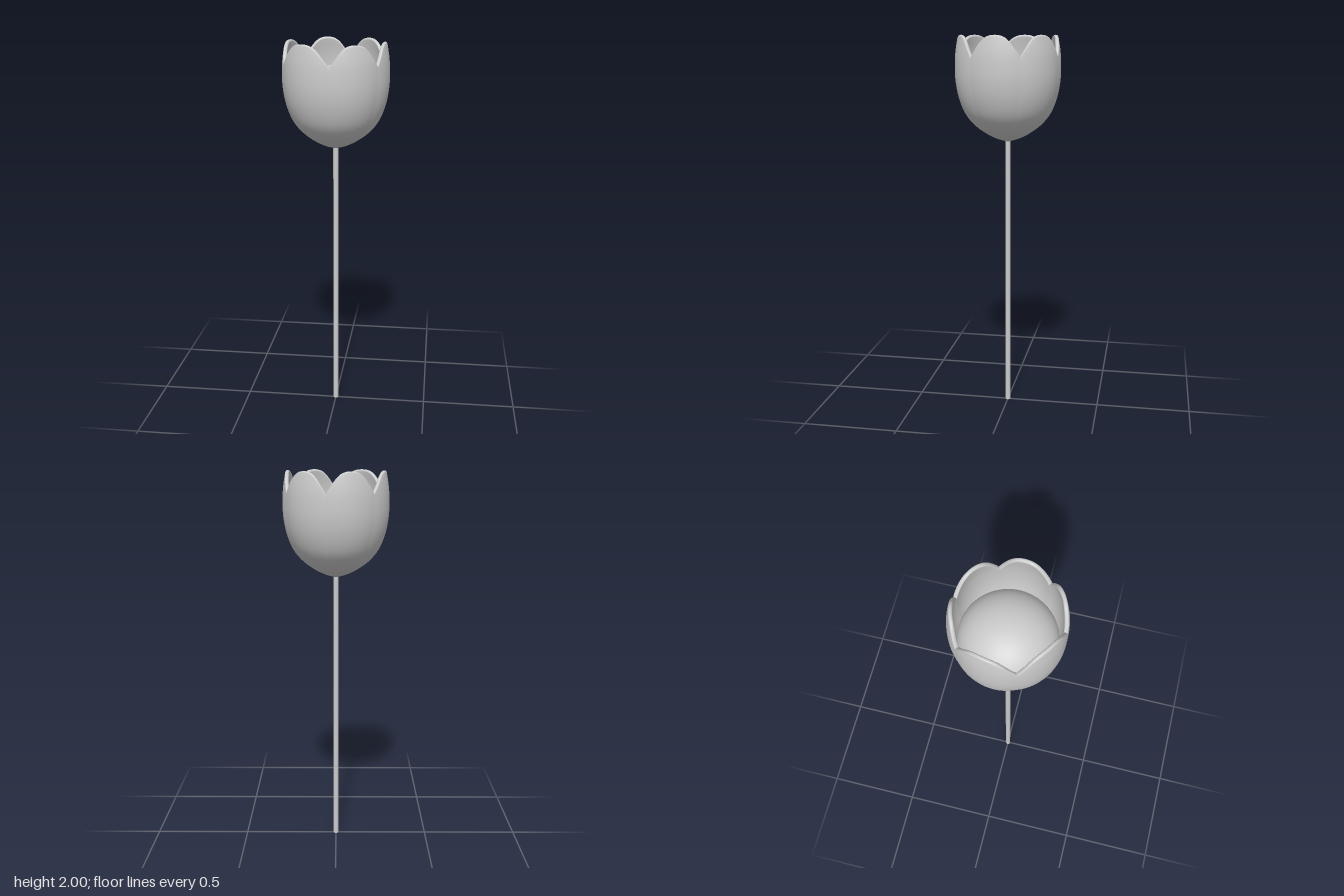
import * as THREE from 'three';

const material = new THREE.MeshStandardMaterial({ color: 0xcccccc, side: THREE.DoubleSide });
const HALF_THICKNESS = 0.01;

// Centre line of the petal wall: radius, height
const wall = new THREE.SplineCurve([
  [0.008, 1.463], [0.06, 1.479], [0.115, 1.508], [0.17, 1.55], [0.215, 1.607],
  [0.246, 1.685], [0.261, 1.765], [0.264, 1.84], [0.26, 1.915], [0.248, 1.99],
].map(([r, y]) => new THREE.Vector2(r, y)));

// Cross-section up the outside, round the lip and down the inside
function crossSection(top, steps = 28, lipSteps = 8) {
  const points = [];
  const add = (v, angle) => {
    const p = wall.getPoint(v * top);
    const t = wall.getTangent(v * top);
    const c = Math.cos(angle) * HALF_THICKNESS, s = Math.sin(angle) * HALF_THICKNESS;
    points.push([Math.max(0, p.x + t.y * c + t.x * s), p.y - t.x * c + t.y * s]);
  };
  for (let j = 0; j < steps; j++) add(j / steps, 0);
  for (let j = 0; j <= lipSteps; j++) add(1, Math.PI * j / lipSteps);
  for (let j = steps - 1; j >= 0; j--) add(j / steps, Math.PI);
  return points;
}

// One petal between two angles, measured from the front towards the left
function petalGeometry(from, to, columns = 28) {
  const positions = [], index = [];
  let rows = 0;
  for (let i = 0; i <= columns; i++) {
    const t = 2 * i / columns - 1;
    const a = THREE.MathUtils.degToRad(from + (to - from) * i / columns);
    const section = crossSection(1 - 0.155 * t * t);
    const bulge = 1.004 - 0.014 * t * t;
    rows = section.length;
    for (const [r, y] of section) {
      positions.push(r * bulge * Math.sin(a), y, r * bulge * Math.cos(a));
    }
  }
  for (let i = 0; i < columns; i++) {
    for (let j = 0; j < rows - 1; j++) {
      const a = i * rows + j, b = a + rows;
      index.push(a, b, a + 1, b, b + 1, a + 1);
    }
  }
  const geometry = new THREE.BufferGeometry();
  geometry.setAttribute('position', new THREE.Float32BufferAttribute(positions, 3));
  geometry.setIndex(index);
  geometry.computeVertexNormals();
  return geometry;
}

export function createModel() {
  const model = new THREE.Group();
  model.name = 'flower';
  const add = (name, geometry, parent = model) => {
    const mesh = new THREE.Mesh(geometry, material);
    mesh.name = name;
    parent.add(mesh);
    return mesh;
  };

  // Stem
  add('stem', new THREE.CylinderGeometry(0.014, 0.014, 1.48, 24)).position.y = 0.74;

  // Domed heart inside the petals
  const heart = add('heart', new THREE.SphereGeometry(1, 48, 32));
  heart.scale.set(0.238, 0.2, 0.238);
  heart.position.y = 1.68;

  // Ring of petals, each running from one seam to the next
  const petals = new THREE.Group();
  petals.name = 'petals';
  model.add(petals);
  const seams = [0, 56.5, 113, 169.5, 225, 292, 360];
  for (let k = 0; k < seams.length - 1; k++) {
    add(`petal${k + 1}`, petalGeometry(seams[k], seams[k + 1]), petals);
  }
  return model;
}
